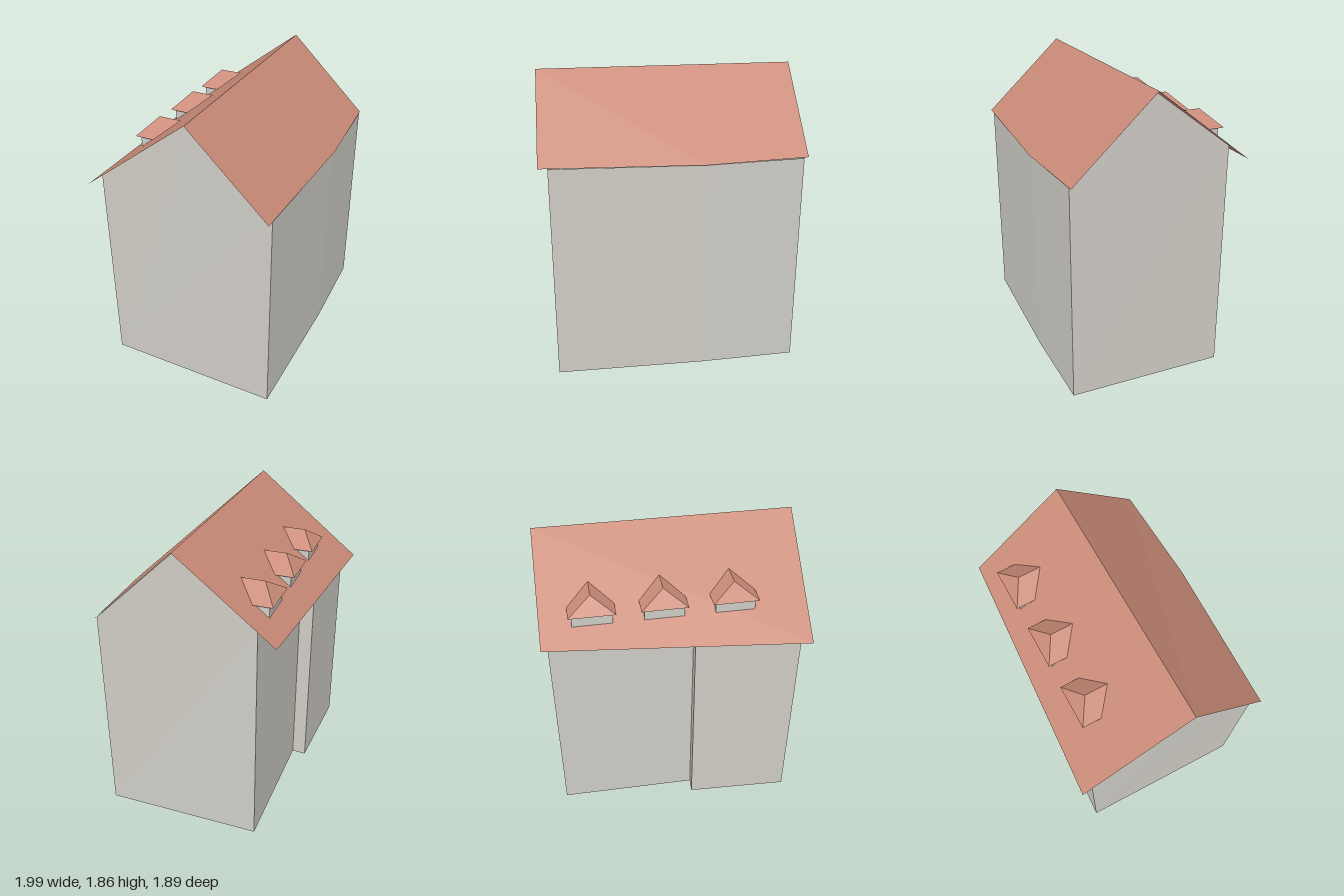
import * as THREE from 'three';

const wallMat = new THREE.MeshStandardMaterial({ name: 'wallGrey', color: 0xd0cdc6, side: THREE.DoubleSide });
const roofMat = new THREE.MeshStandardMaterial({ name: 'roofTerracotta', color: 0xca8b78, side: THREE.DoubleSide });

// Flat-shaded mesh from a list of polygons (corners counter-clockwise from outside)
function facets(name, polygons, material) {
  const pos = [];
  for (const p of polygons) {
    for (let i = 1; i < p.length - 1; i++) pos.push(...p[0], ...p[i], ...p[i + 1]);
  }
  const geo = new THREE.BufferGeometry();
  geo.setAttribute('position', new THREE.Float32BufferAttribute(pos, 3));
  geo.computeVertexNormals();
  const mesh = new THREE.Mesh(geo, material);
  mesh.name = name;
  return mesh;
}

const RIDGE = 1.86;
const SLOPE = 0.78; // drop per unit on the dormer side

// Small hipped dormer: front faces local -z, x is centred
function createDormer() {
  const dormer = new THREE.Group();
  dormer.name = 'dormer';
  const w = 0.14, top = RIDGE - SLOPE * 0.288, eave = top - 0.092;
  const back = -0.288, eaveBack = -0.406, apex = -0.434, front = -0.526;
  const ridgeBack = [0, top, back], ridgeFront = [0, top, apex];
  const fl = [-w, eave, front], fr = [w, eave, front];
  const bl = [-w, eave, eaveBack], br = [w, eave, eaveBack];
  dormer.add(facets('dormerRoof', [
    [fr, fl, ridgeFront],
    [fl, bl, ridgeBack, ridgeFront],
    [br, fr, ridgeFront, ridgeBack],
    [fl, fr, br, bl],
  ], roofMat));
  // Walls run down into the main roof
  const wallW = 0.24, wallH = 0.09, wallD = 0.1;
  const walls = new THREE.Mesh(new THREE.BoxGeometry(wallW, wallH, wallD), wallMat);
  walls.name = 'dormerWalls';
  walls.position.set(0, eave - wallH / 2 - 0.002, -0.5 + wallD / 2);
  dormer.add(walls);
  return dormer;
}

export function createModel() {
  const house = new THREE.Group();
  house.name = 'house';

  // Footprint corners: x, z and wall-top height
  const plan = [
    [-0.222, 0.905, 1.375], [0.51, 0.332, 1.36], [0.973, -0.062, 1.37],
    [0.35, -0.835, 1.48], [-0.337, -0.289, 1.471], [-0.39, -0.363, 1.4],
    [-0.915, 0.02, 1.373],
  ];
  // Gable peaks, keyed by the corner each gable starts from
  const peaks = { 2: [0.66, 1.85, -0.462], 6: [-0.55, 1.85, 0.508] };

  // Walls, with a step in the back wall and a slight bend in the front
  const walls = plan.map((a, i) => {
    const b = plan[(i + 1) % plan.length];
    const face = [[a[0], 0, a[1]], [b[0], 0, b[1]], [b[0], b[2], b[1]]];
    if (peaks[i]) face.push(peaks[i]);
    face.push([a[0], a[2], a[1]]);
    return face;
  });
  house.add(facets('walls', walls, wallMat));

  // Underside
  const shape = new THREE.Shape(plan.map(p => new THREE.Vector2(p[0], p[1])));
  const floor = new THREE.Mesh(new THREE.ShapeGeometry(shape).rotateX(Math.PI / 2), wallMat);
  floor.name = 'floor';
  house.add(floor);

  // Main roof
  const ridgeLeft = [-0.575, RIDGE, 0.54], ridgeRight = [0.675, RIDGE, -0.48];
  house.add(facets('frontRoof', [
    [ridgeLeft, [-0.265, 1.38, 0.943], [0.524, 1.365, 0.342], [0.993, 1.375, -0.08], ridgeRight],
  ], roofMat));
  house.add(facets('backRoof', [
    [ridgeRight, [0.302, 1.39, -0.95], [-1, 1.317, -0.012], ridgeLeft],
  ], roofMat));

  // Row of dormers along the back slope
  const row = new THREE.Group();
  row.name = 'dormerRow';
  row.position.set(ridgeLeft[0], 0, ridgeLeft[2]);
  row.rotation.y = 0.684;
  for (let i = 0; i < 3; i++) {
    const dormer = createDormer();
    dormer.position.x = 0.459 + i * 0.426;
    row.add(dormer);
  }
  house.add(row);

  return house;
}
